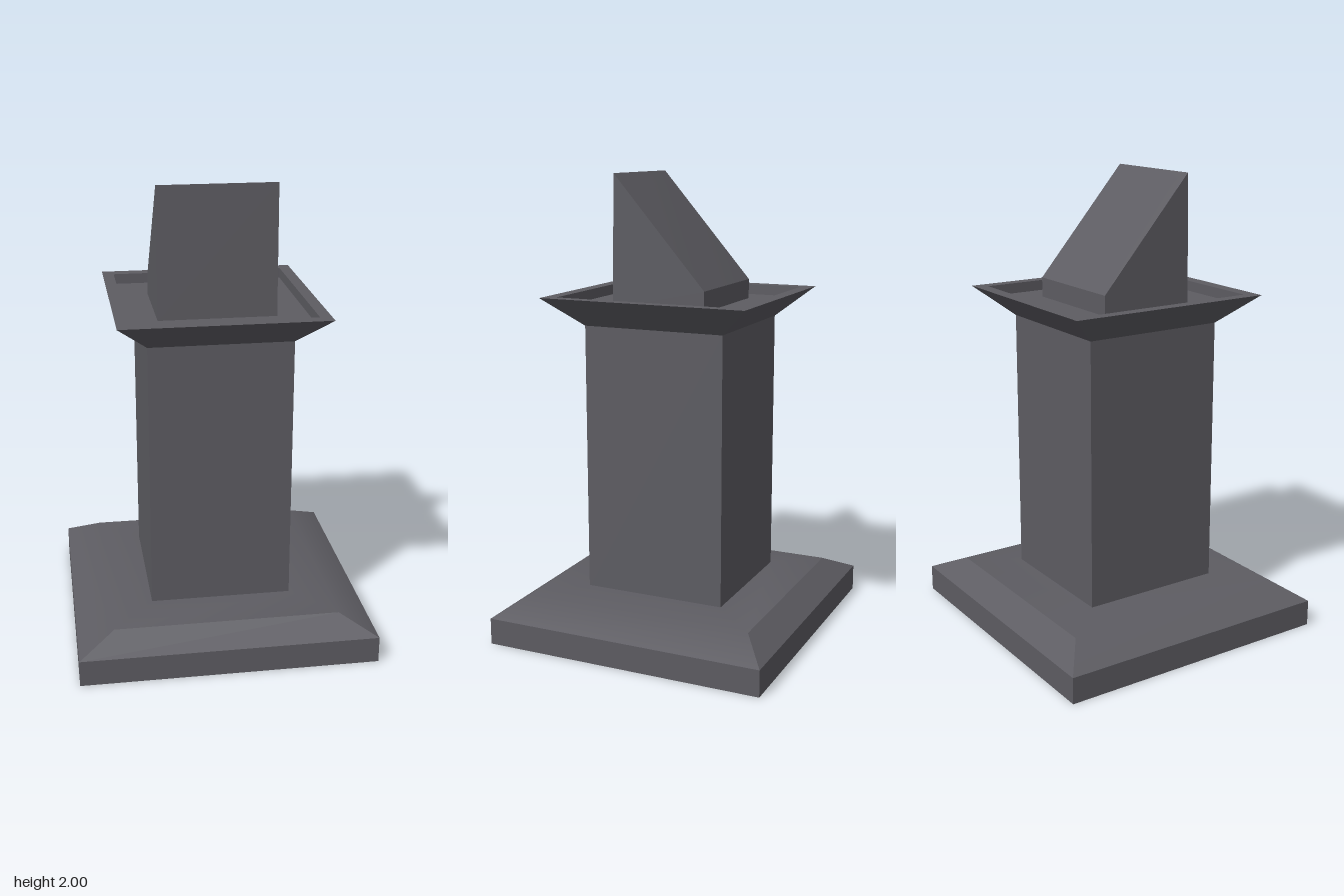
import * as THREE from 'three';
import { toCreasedNormals } from 'three/addons/utils/BufferGeometryUtils.js';

// Four corners of a rectangular cross-section, counter-clockwise from above
const ring = (hx, y, hz) => [[hx, y, hz], [hx, y, -hz], [-hx, y, -hz], [-hx, y, hz]];

// Joins four-cornered rings from bottom to top and closes both ends;
// an optional peak point turns the top into a fan of four triangles
function loft(rings, peak) {
  const points = rings.flat();
  const index = [0, 2, 1, 0, 3, 2];
  for (let r = 0; r < rings.length - 1; r++) {
    for (let i = 0; i < 4; i++) {
      const a = r * 4 + i, b = r * 4 + (i + 1) % 4;
      index.push(a, b, b + 4, a, b + 4, a + 4);
    }
  }
  const t = (rings.length - 1) * 4;
  if (peak) {
    points.push(peak);
    for (let i = 0; i < 4; i++) index.push(t + i, t + (i + 1) % 4, t + 4);
  } else {
    index.push(t, t + 1, t + 2, t, t + 2, t + 3);
  }
  const geometry = new THREE.BufferGeometry();
  geometry.setAttribute('position', new THREE.Float32BufferAttribute(points.flat(), 3));
  geometry.setIndex(index);
  return toCreasedNormals(geometry, 0.5);
}

export function createModel() {
  const group = new THREE.Group();
  group.name = 'pedestal';
  const stone = new THREE.MeshStandardMaterial({ color: 0x5d5c62 });
  stone.name = 'dark grey stone';

  const add = (name, geometry) => {
    const mesh = new THREE.Mesh(geometry, stone);
    mesh.name = name;
    group.add(mesh);
  };

  // Square plinth with a chamfered, gently rising top
  add('base', loft([
    ring(0.64, 0, 0.62), ring(0.64, 0.115, 0.62),
    ring(0.485, 0.19, 0.51), ring(0.305, 0.2, 0.315),
  ]));

  // Straight shaft
  add('column', loft([ring(0.305, 0.19, 0.315), ring(0.305, 1.366, 0.315)]));

  // Flared capital with a flat rim around a sunken tray
  add('capital', loft([
    ring(0.305, 1.365, 0.315), ring(0.435, 1.49, 0.46),
    ring(0.385, 1.49, 0.405), ring(0.385, 1.445, 0.405),
  ]));

  // Wedge with an upright front and a slightly bulging slope at the back
  add('wedge', loft([
    ring(0.25, 1.44, 0.21),
    [[0.25, 2, 0.2], [0.25, 1.53, -0.21], [-0.25, 1.53, -0.21], [-0.25, 2, 0.2]],
  ], [-0.18, 1.935, 0.135]));

  return group;
}
